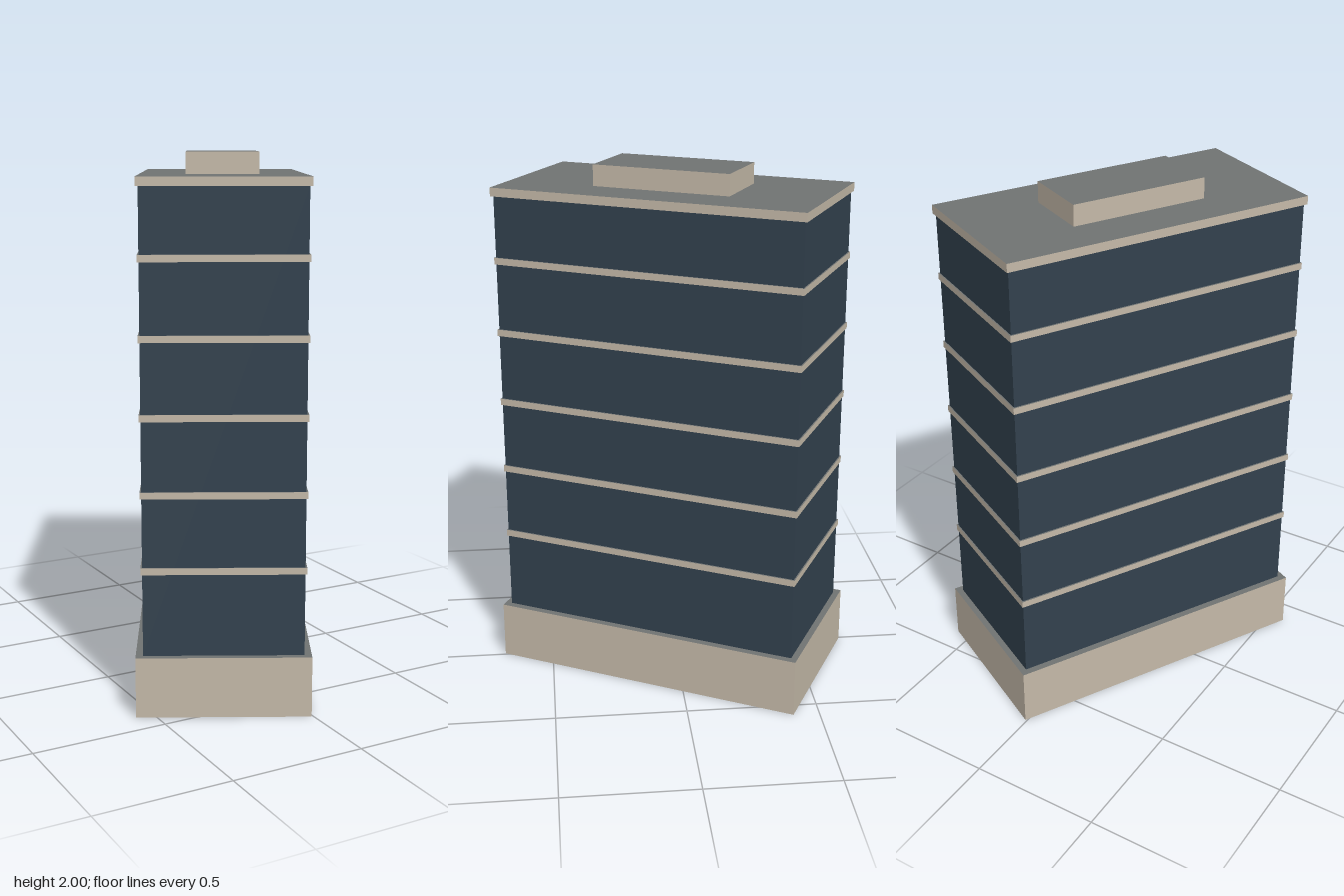
import * as THREE from 'three';

const stone = new THREE.MeshStandardMaterial({ name: 'warm stone', color: 0xc4b9a8 });
const glass = new THREE.MeshStandardMaterial({ name: 'dark glass', color: 0x32414e });
const roof = new THREE.MeshStandardMaterial({ name: 'roof grey', color: 0x707372 });

export function createModel() {
  const model = new THREE.Group();
  model.name = 'officeBlock';

  // Box standing from y0 to y1, with its own colour for the top face
  const slab = (name, w, d, y0, y1, wall, top = roof) => {
    const mesh = new THREE.Mesh(
      new THREE.BoxGeometry(w, y1 - y0, d),
      [wall, wall, top, wall, wall, wall]
    );
    mesh.name = name;
    mesh.position.y = (y0 + y1) / 2;
    model.add(mesh);
  };

  // Podium and glazed tower
  slab('podium', 0.633, 1.235, 0, 0.225, stone);
  slab('glassTower', 0.58, 1.186, 0.225, 1.889, glass);

  // Floor bands wrapping the tower
  for (let i = 0; i < 5; i++) {
    const y = 0.541 + i * 0.2765;
    slab(`floorBand${i + 1}`, 0.592, 1.196, y - 0.0125, y + 0.0125, stone);
  }

  // Roof slab and rooftop plant room
  slab('roofSlab', 0.6, 1.203, 1.889, 1.921, stone);
  slab('plantRoom', 0.264, 0.53, 1.921, 2, stone);

  // The whole block stands askew to the axes
  model.rotation.y = THREE.MathUtils.degToRad(-27.7);
  const root = new THREE.Group();
  root.name = 'building';
  root.add(model);
  return root;
}
